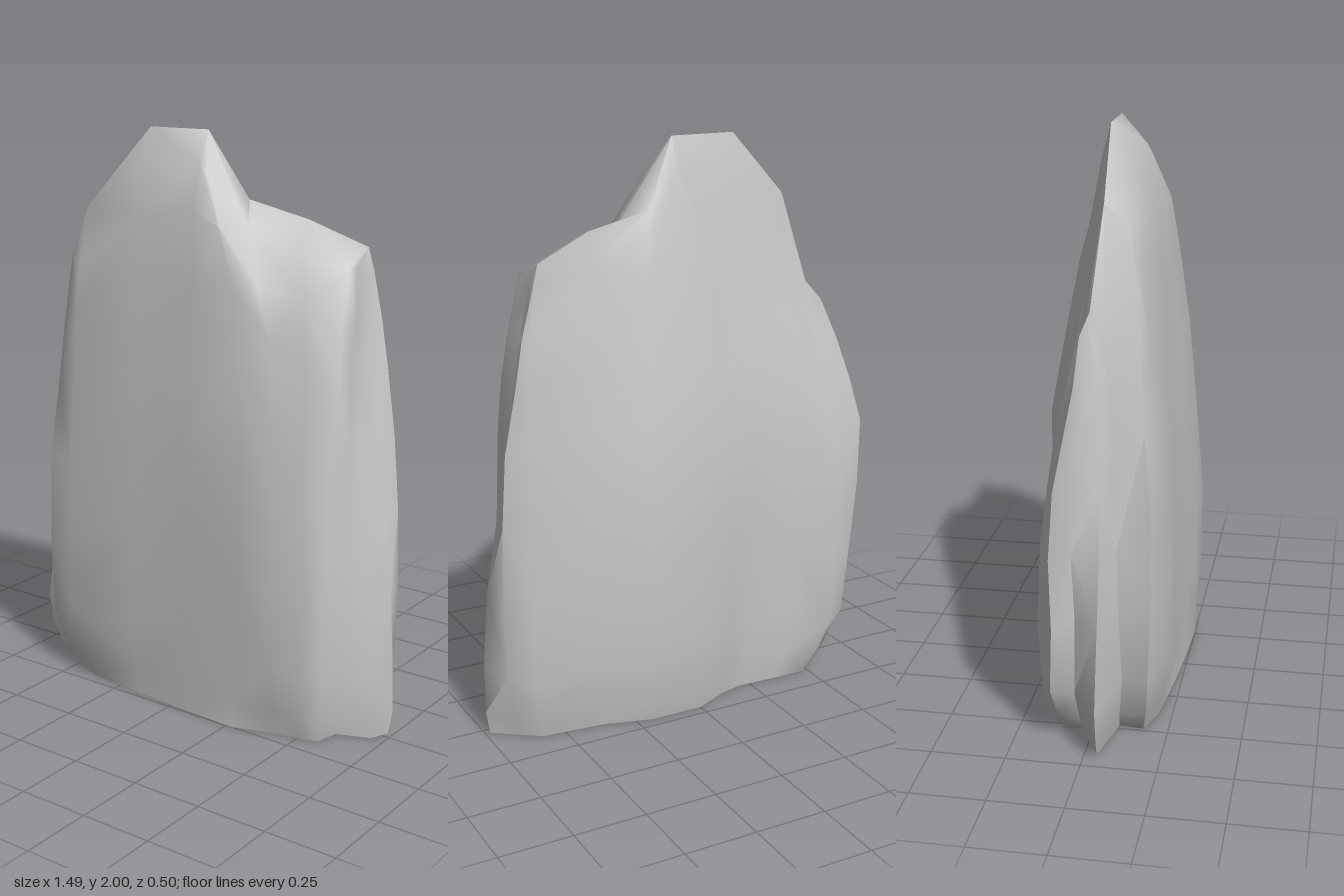
import * as THREE from 'three';
import { toCreasedNormals } from 'three/addons/utils/BufferGeometryUtils.js';

// Points along the crest, from the model's right end to its left end
const A = [-0.54, 1.46, 0.0], B = [-0.45, 1.78, 0.03], C = [-0.24, 2, 0.015];
const D = [0, 2, 0.01], E = [0.12, 1.77, -0.06], F = [0.35, 1.72, -0.07], G = [0.55, 1.64, -0.12];

// Columns around the slab: x, z, crest point, how late the column leans in, x at the foot
const columns = [
  // front
  [-0.62, 0.2, B, 2, -0.58], [-0.45, 0.245, B, 6], [-0.18, 0.225, C, 7], [0.06, 0.24, D, 8],
  [0.29, 0.25, D, 5], [0.43, 0.245, E, 5], [0.53, 0.225, F, 5], [0.6, 0.2, G, 5],
  // left end with a low spur
  [0.62, 0.1, G, 5], [0.74, 0.045, G, 1], [0.77, -0.03, G, 1.2], [0.74, -0.11, G, 2.3, 0.68],
  // back with its bulge and groove
  [0.61, -0.165, G, 5], [0.38, -0.19, F, 5], [0.2, -0.25, E, 4], [0, -0.25, D, 3],
  [-0.15, -0.18, D, 4], [-0.25, -0.155, C, 5], [-0.42, -0.165, B, 5], [-0.6, -0.165, A, 5, -0.57],
  // right end with a high and a low spur
  [-0.765, -0.11, A, 5, -0.63], [-0.66, -0.04, A, 4, -0.62], [-0.81, 0.05, A, 0.75], [-0.57, 0.1, A, 5],
];
// Heights of the rings, and how far front and back have closed in on the crest at each
const levels = [0, 0.05, 0.14, 0.3, 0.47, 0.62, 0.75, 0.86, 0.95, 1];
const frontClose = [0, 0, 0, 0, 0.05, 0.15, 0.27, 0.37, 0.62, 1];
const backClose = [0, 0, 0, 0, 0.03, 0.26, 0.45, 0.64, 0.85, 1];

function seeded(seed) {
  return () => {
    seed = (seed * 16807) % 2147483647;
    return seed / 2147483647 - 0.5;
  };
}

// Each level is a ring; the last ring folds shut along the crest
function buildRings() {
  const rand = seeded(71);
  const { lerp } = THREE.MathUtils;
  return levels.map((f, i) => columns.map(([x, z, top, lean, foot = x]) => {
    const undercut = [1, 0.5][i] ?? 0;
    const tuckX = 1 - undercut * (x < 0 ? 0.16 : 0.05);
    const tuckZ = 1 - undercut * (z < 0 || Math.abs(x) > 0.4 ? 0.17 : 0);
    const rough = i > 1 && i < levels.length - 1 ? 1 : 0;
    const baseX = lerp(foot, x, Math.min(1, f / 0.62));
    const close = (z > 0 ? frontClose : backClose)[i];
    return new THREE.Vector3(
      lerp(baseX * tuckX, top[0], Math.pow(f, lean)) + rand() * rough * 0.014,
      f * top[1] + rand() * rough * 0.07,
      lerp(z * tuckZ, top[2], close) + rand() * rough * 0.018,
    );
  }));
}

function buildRock() {
  const rings = buildRings();
  const positions = [];
  const face = (a, b, c) => {
    const area = new THREE.Vector3().subVectors(b, a).cross(new THREE.Vector3().subVectors(c, a)).length();
    if (area > 1e-7) for (const p of [a, b, c]) positions.push(p.x, p.y, p.z);
  };
  const n = columns.length;
  const centre = new THREE.Vector3(0, 0, 0);
  for (let k = 0; k < n; k++) {
    const m = (k + 1) % n;
    for (let i = 0; i < rings.length - 1; i++) {
      const a = rings[i][k], b = rings[i][m], c = rings[i + 1][m], d = rings[i + 1][k];
      // alternate diagonals for an irregular, hewn surface
      if ((i + k) % 2) { face(a, b, c); face(a, c, d); }
      else { face(a, b, d); face(b, c, d); }
    }
    face(centre, rings[0][m], rings[0][k]); // flat underside
  }
  const geometry = new THREE.BufferGeometry();
  geometry.setAttribute('position', new THREE.Float32BufferAttribute(positions, 3));
  return toCreasedNormals(geometry, 1.15);
}

export function createModel() {
  const group = new THREE.Group();
  group.name = 'standingRock';
  const stone = new THREE.MeshStandardMaterial({ color: 0xc6c6c6 });
  stone.name = 'pale grey stone';
  const rock = new THREE.Mesh(buildRock(), stone);
  rock.name = 'rockSlab';
  group.add(rock);
  return group;
}
